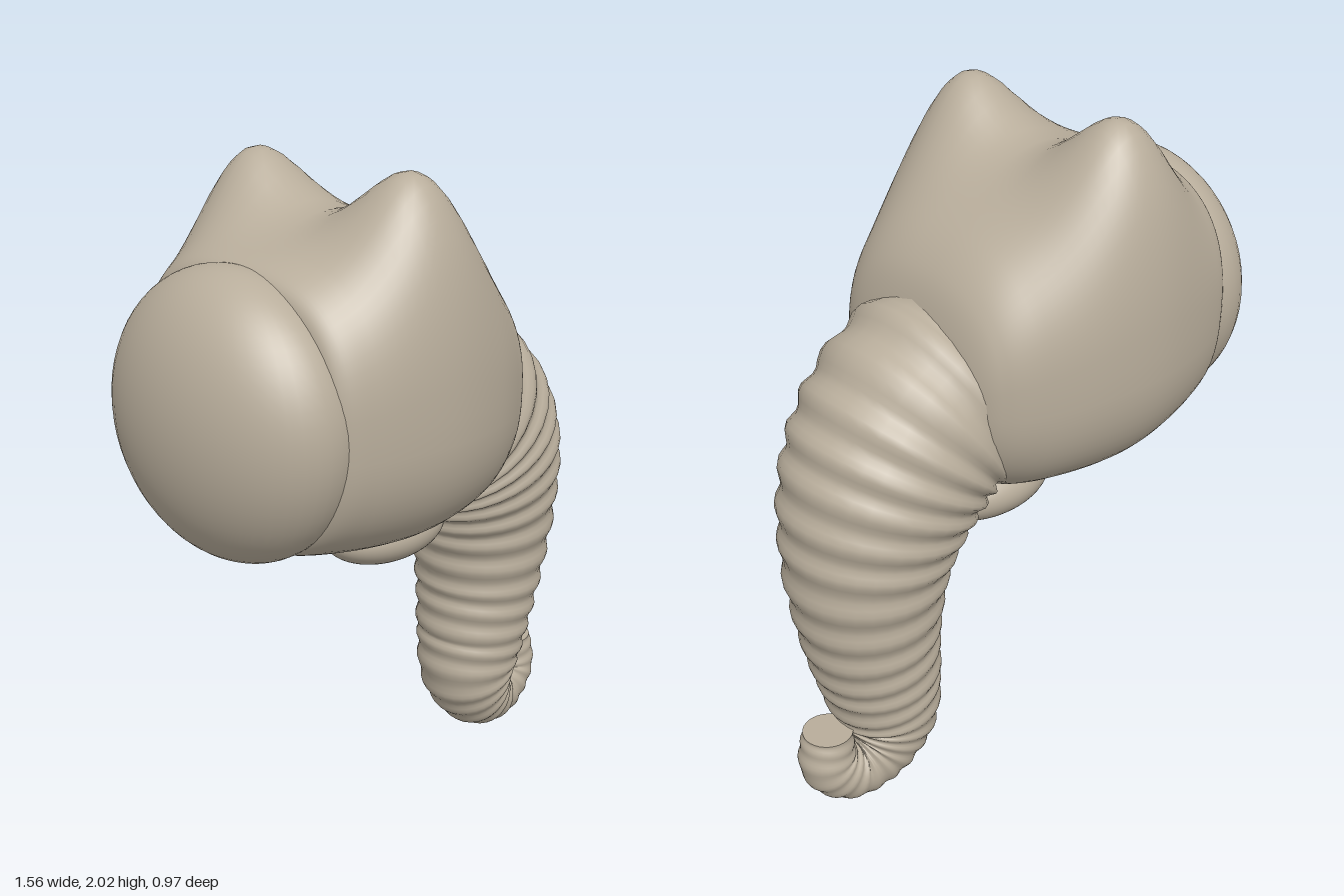
import * as THREE from 'three';

// Skins a list of closed rings (equal point counts) into one smooth surface
function loft(rings) {
  const n = rings[0].length, pos = [], idx = [];
  rings.forEach(r => r.forEach(p => pos.push(p.x, p.y, p.z)));
  for (let i = 0; i < rings.length - 1; i++) {
    for (let j = 0; j < n; j++) {
      const a = i * n + j, b = i * n + (j + 1) % n;
      idx.push(a, b, a + n, b, b + n, a + n);
    }
  }
  const g = new THREE.BufferGeometry();
  g.setAttribute('position', new THREE.Float32BufferAttribute(pos, 3));
  g.setIndex(idx);
  g.computeVertexNormals();
  return g;
}

const spow = (v, e) => Math.sign(v) * Math.pow(Math.abs(v), e);

// Head: rounded-square sections along x, with two domes raised on the crown
function headGeometry() {
  const stations = [ // x, top, bottom, half width
    [-0.53, 1.7, 1.1, 0.33], [-0.51, 1.785, 1.03, 0.39], [-0.42, 1.82, 1.0, 0.435],
    [-0.18, 1.86, 0.965, 0.485], [0.02, 1.83, 0.97, 0.46], [0.18, 1.745, 0.995, 0.39],
    [0.27, 1.65, 1.06, 0.33], [0.315, 1.54, 1.16, 0.26], [0.33, 1.42, 1.28, 0.12],
    [0.333, 1.35, 1.35, 0],
  ];
  const heights = new THREE.CatmullRomCurve3(stations.map(s => new THREE.Vector3(s[0], s[1], s[2])));
  const widths = new THREE.CatmullRomCurve3(stations.map(s => new THREE.Vector3(s[0], s[3], 0)));
  const rings = [], rows = 72, n = 72;
  for (let i = 0; i <= rows; i++) {
    const h = heights.getPoint(i / rows), w = Math.max(0, widths.getPoint(i / rows).y);
    const ring = [];
    for (let j = 0; j < n; j++) {
      const a = j / n * Math.PI * 2;
      const z = w * spow(Math.sin(a), 0.8);
      let y = (h.y + h.z) / 2 + (h.y - h.z) / 2 * spow(Math.cos(a), 0.8);
      const lift = THREE.MathUtils.smoothstep(y, 1.35, 1.7);
      for (const side of [-1, 1]) {
        const d2 = (h.x + 0.16) ** 2 + (z - side * 0.32) ** 2;
        y += 0.22 * lift * Math.exp(-d2 / (2 * 0.135 ** 2));
      }
      ring.push(new THREE.Vector3(h.x, y, z));
    }
    rings.push(ring);
  }
  return loft(rings);
}

// Trunk: ribbed tapering tube that curls up at the tip
function trunkGeometry() {
  const path = [ // x, y, radius
    [0.12, 1.32, 0.31], [0.33, 1.2, 0.305], [0.44, 1.05, 0.285], [0.5, 0.85, 0.245],
    [0.505, 0.6, 0.207], [0.48, 0.4, 0.182], [0.465, 0.24, 0.157], [0.52, 0.135, 0.125],
    [0.61, 0.105, 0.1], [0.685, 0.17, 0.088], [0.68, 0.285, 0.075],
  ];
  const centre = new THREE.CatmullRomCurve3(path.map(p => new THREE.Vector3(p[0], p[1], 0)));
  const radii = new THREE.CatmullRomCurve3(path.map((p, i) => new THREE.Vector3(i, p[2], 0)));
  const rings = [], ribs = 25, rows = ribs * 6, n = 32;
  for (let i = 0; i <= rows; i++) {
    const t = i / rows, c = centre.getPoint(t), d = centre.getTangent(t);
    const rib = 1 + 0.03 * Math.sin(t * ribs * Math.PI * 2);
    const r = radii.getPoint(t).y * rib, ring = [];
    for (let j = 0; j < n; j++) {
      const a = j / n * Math.PI * 2, u = r * Math.cos(a);
      ring.push(new THREE.Vector3(c.x - d.y * u, c.y + d.x * u, r * Math.sin(a)));
    }
    rings.push(ring);
  }
  return { body: loft(rings), tip: rings[rows] };
}

export function createModel() {
  const hide = new THREE.MeshStandardMaterial({ color: 0xb8ad9b });
  hide.name = 'warm grey hide';
  const group = new THREE.Group();
  group.name = 'elephantHead';

  const add = (name, geometry) => {
    const mesh = new THREE.Mesh(geometry, hide);
    mesh.name = name;
    group.add(mesh);
    return mesh;
  };
  const ellipsoid = (name, c, r) => {
    const g = new THREE.SphereGeometry(1, 48, 32);
    g.scale(...r);
    return add(name, g.translate(...c));
  };

  add('head', headGeometry());
  ellipsoid('neck', [-0.53, 1.4, 0], [0.25, 0.4, 0.4]);
  ellipsoid('lowerLip', [0.05, 0.9, 0], [0.22, 0.1, 0.15]);

  const trunk = trunkGeometry();
  add('trunk', trunk.body);
  // Flat end of the trunk
  const mid = trunk.tip.reduce((s, p) => s.add(p), new THREE.Vector3()).divideScalar(trunk.tip.length);
  add('trunkTip', loft([trunk.tip, trunk.tip.map(() => mid)]));

  return group;
}
